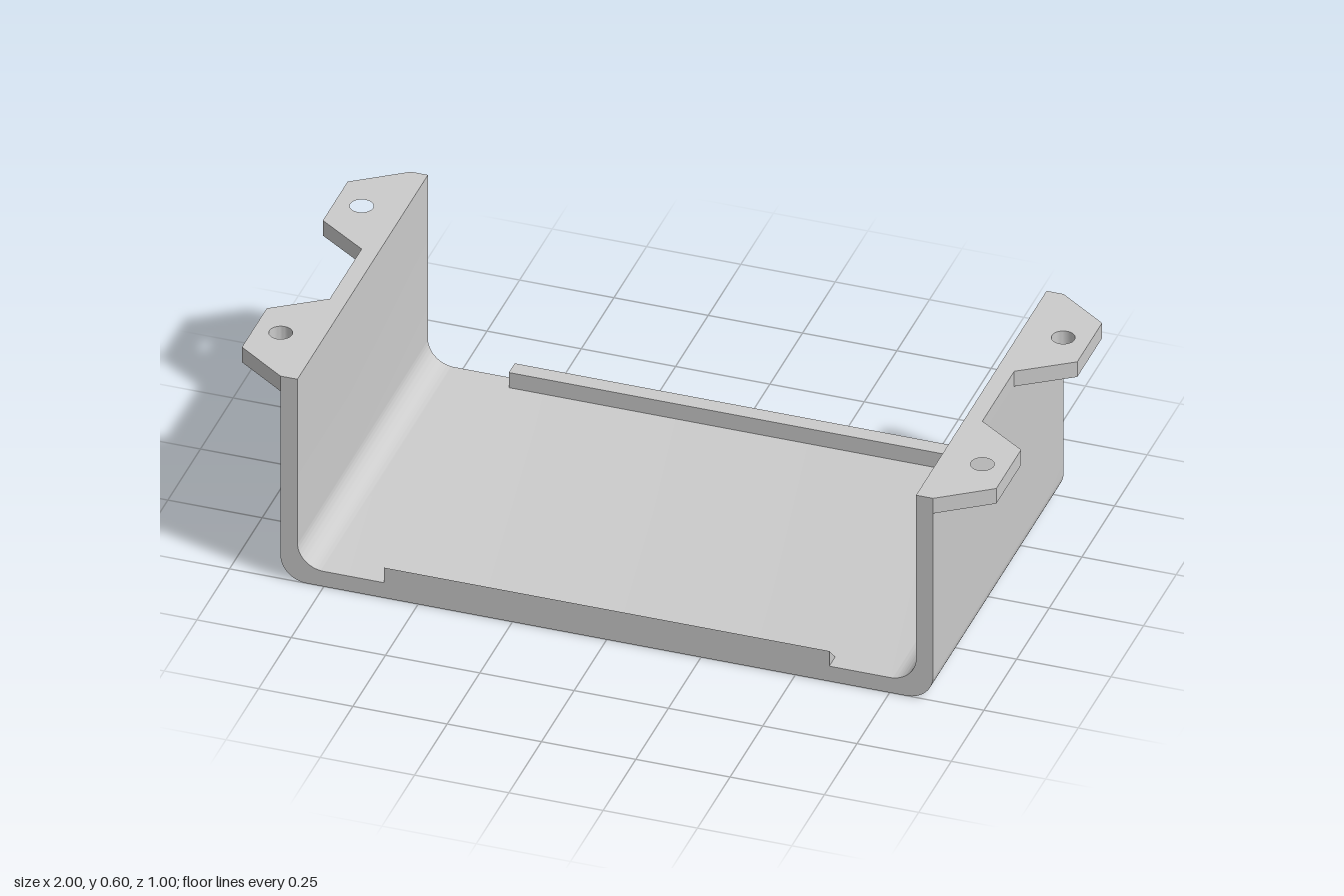
import * as THREE from 'three';
import { toCreasedNormals } from 'three/addons/utils/BufferGeometryUtils.js';

const T = 0.045;           // sheet thickness
const H = 0.603;           // overall height
const W = 0.865;           // half width of the channel
const R = 0.07;            // bend radius
const material = new THREE.MeshStandardMaterial({ color: 0xcccccc });

function extrude(shape, depth) {
  const geo = new THREE.ExtrudeGeometry(shape, { depth, bevelEnabled: false, curveSegments: 16 });
  return toCreasedNormals(geo, 0.45);
}

function polygon(points) {
  return new THREE.Shape(points.map(([x, y]) => new THREE.Vector2(x, y)));
}

function addMesh(group, name, geometry) {
  const mesh = new THREE.Mesh(geometry, material);
  mesh.name = name;
  group.add(mesh);
  return mesh;
}

// U-shaped section with rounded bends, swept from back to front
function channelGeometry() {
  const i = W - T;
  const s = new THREE.Shape();
  s.moveTo(-W, H);
  s.lineTo(-W, R);
  s.absarc(-W + R, R, R, Math.PI, Math.PI * 1.5, false);
  s.lineTo(W - R, 0);
  s.absarc(W - R, R, R, -Math.PI / 2, 0, false);
  s.lineTo(W, H);
  s.lineTo(i, H);
  s.lineTo(i, T + R);
  s.absarc(i - R, T + R, R, 0, -Math.PI / 2, true);
  s.lineTo(-i + R, T);
  s.absarc(-i + R, T + R, R, -Math.PI / 2, -Math.PI, true);
  s.lineTo(-i, H);
  s.closePath();
  return extrude(s, 1).translate(0, 0, -0.5);
}

// Tapered mounting tab with a screw hole
function tabGeometry(sx, sz) {
  const outline = [[W, 0.5], [1, 0.405], [1, 0.215], [W, 0.122]];
  const s = polygon(outline.map(([x, z]) => [x * sx, z * sz]));
  const hole = new THREE.Path();
  hole.absarc(0.93 * sx, 0.31 * sz, 0.03, 0, Math.PI * 2, true);
  s.holes.push(hole);
  return extrude(s, T).rotateX(Math.PI / 2).translate(0, H, 0);
}

// Lip along the floor edge, from a profile given as [z, y]
function lipGeometry(profile) {
  return extrude(polygon(profile), 1.18).rotateY(-Math.PI / 2).translate(0.59, 0, 0);
}

export function createModel() {
  const model = new THREE.Group();
  model.name = 'mountingBracket';
  addMesh(model, 'channel', channelGeometry());

  for (const sx of [1, -1]) {
    for (const sz of [1, -1]) {
      const name = (sz > 0 ? 'front' : 'back') + (sx > 0 ? 'Left' : 'Right') + 'Tab';
      addMesh(model, name, tabGeometry(sx, sz));
    }
  }

  // Wedge at the front, square ridge at the back
  addMesh(model, 'frontLip', lipGeometry([[0.455, T], [0.5, T], [0.5, 0.09]]));
  addMesh(model, 'backLip', lipGeometry([[-0.5, T], [-0.455, T], [-0.455, 0.09], [-0.5, 0.09]]));
  return model;
}
